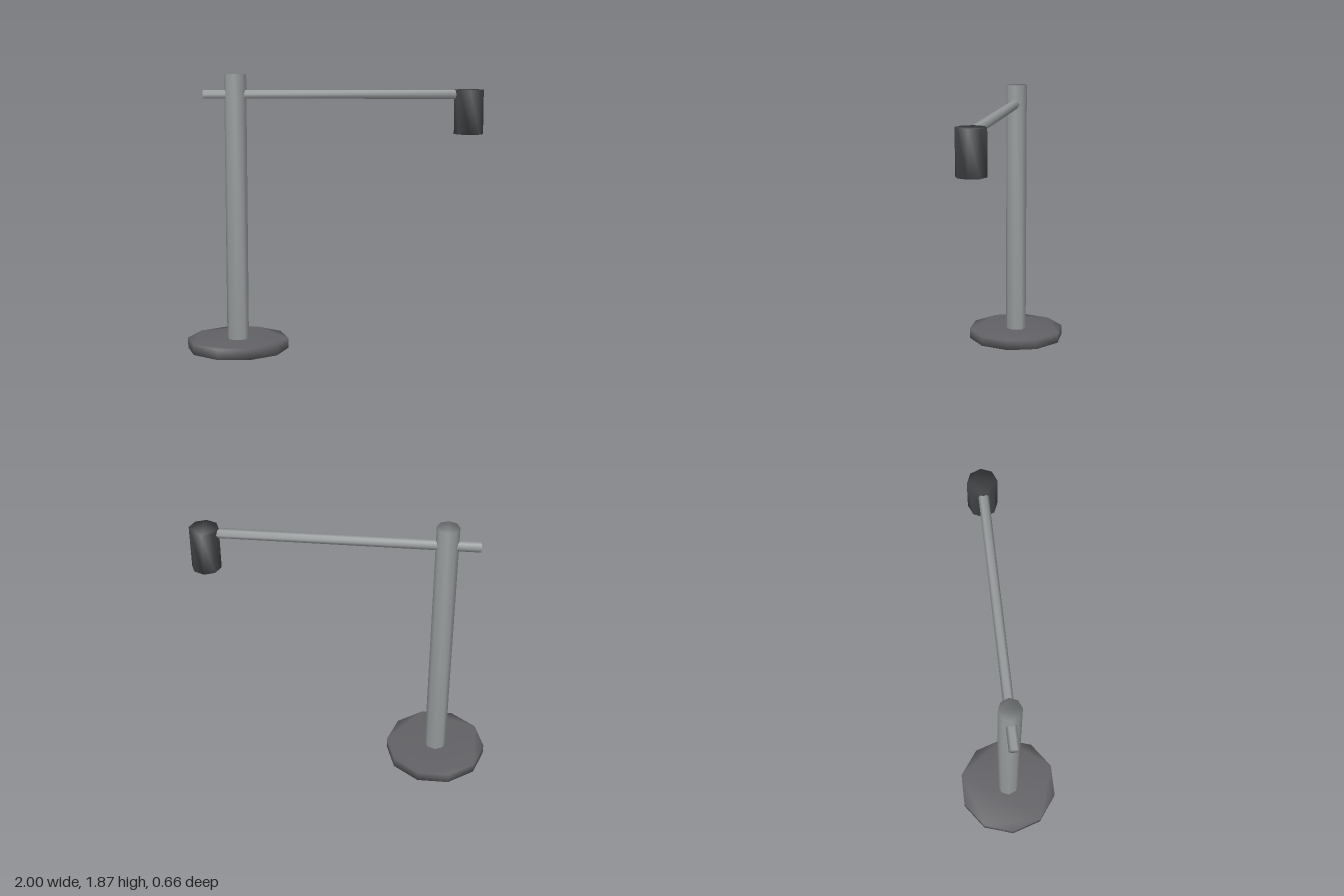
import * as THREE from 'three';
import { mergeVertices } from 'three/addons/utils/BufferGeometryUtils.js';

// Regular prism extruded along +z, normals shared across its edges
function prism(sides, radius, length) {
  const points = Array.from({ length: sides }, (_, i) => {
    const a = (i / sides) * Math.PI * 2;
    return new THREE.Vector2(Math.cos(a) * radius, Math.sin(a) * radius);
  });
  const raw = new THREE.ExtrudeGeometry(new THREE.Shape(points), { depth: length, bevelEnabled: false });
  raw.deleteAttribute('normal');
  raw.deleteAttribute('uv');
  raw.clearGroups();
  const geometry = mergeVertices(raw, 1e-4);
  geometry.computeVertexNormals();
  return geometry;
}

export function createModel() {
  const model = new THREE.Group();
  model.name = 'deskLamp';

  const metal = new THREE.MeshStandardMaterial({ color: 0x989c9d });
  const darkMetal = new THREE.MeshStandardMaterial({ color: 0x626266 });
  const black = new THREE.MeshStandardMaterial({ color: 0x424446 });

  const add = (name, geometry, material, x, y) => {
    const mesh = new THREE.Mesh(geometry, material);
    mesh.name = name;
    mesh.position.set(x, y, 0);
    model.add(mesh);
  };
  const upright = (sides, radius, height) => prism(sides, radius, height).rotateX(-Math.PI / 2);

  const poleX = -0.655;

  // Ten-sided foot plate
  add('base', upright(10, 0.345, 0.07), darkMetal, poleX, 0);

  // Eight-sided upright
  add('pole', upright(8, 0.074, 1.82), metal, poleX, 0.05);

  // Six-sided arm passing through the pole into the head
  add('arm', prism(6, 0.033, 1.74).rotateY(Math.PI / 2), metal, -0.87, 1.736);

  // Lamp head hanging at the end of the arm
  add('lampHead', upright(8, 0.098, 0.295), black, 0.902, 1.473);

  return model;
}
